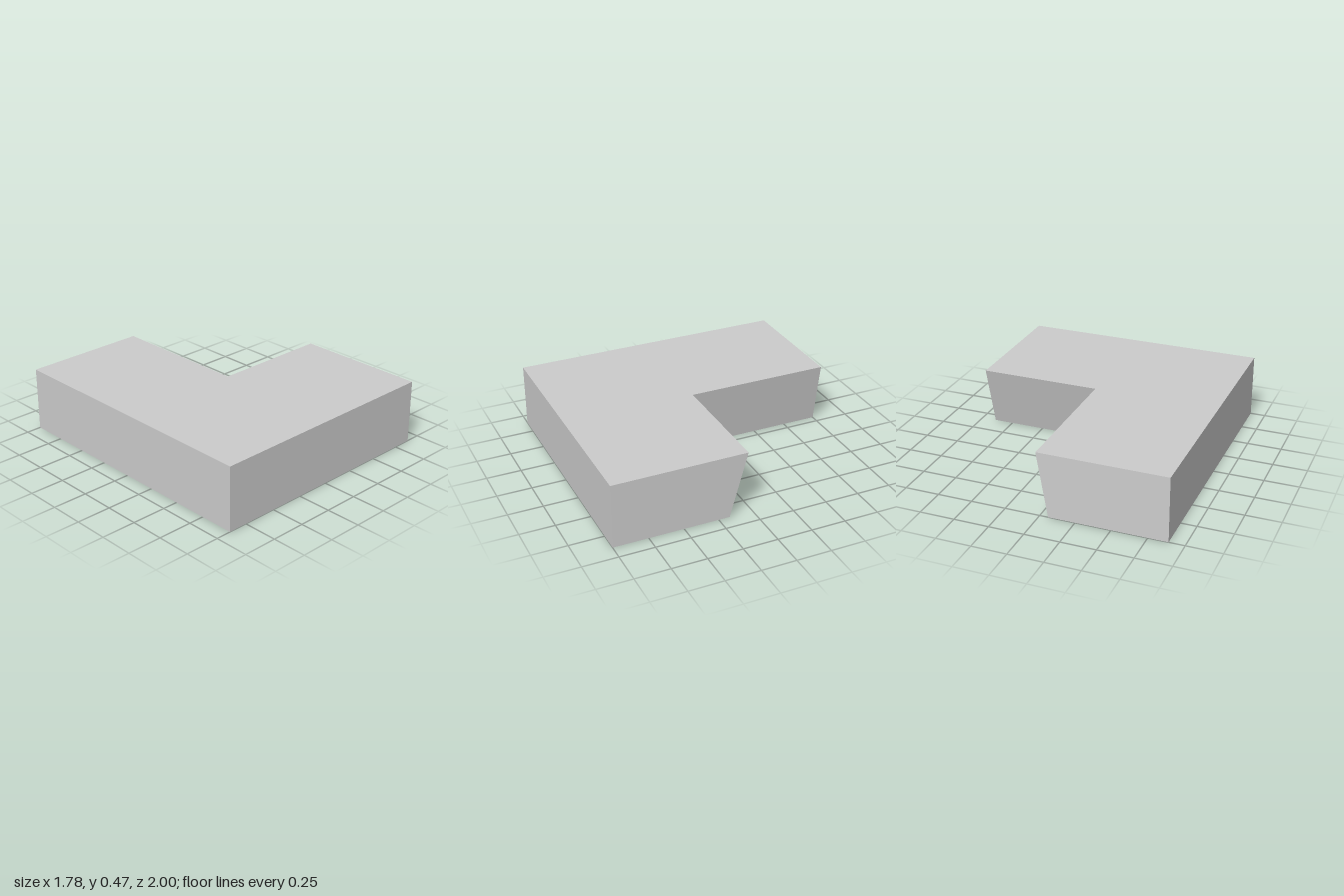
import * as THREE from 'three';

const HEIGHT = 0.465;
const INNER_X = 0.02, INNER_Z = 0.04; // inner walls at the top
const LEAN_X = -0.08, LEAN_Z = 0.13;  // how far they lean in at the bottom

export function createModel() {
  const group = new THREE.Group();
  group.name = 'cornerBlock';

  // L-shaped plan, drawn as (x, z)
  const plan = new THREE.Shape([
    [-0.89, -1], [INNER_X, -1], [INNER_X, INNER_Z],
    [0.89, INNER_Z], [0.89, 1], [-0.89, 1],
  ].map(([x, z]) => new THREE.Vector2(x, z)));

  const geometry = new THREE.ExtrudeGeometry(plan, { depth: HEIGHT, bevelEnabled: false });
  geometry.rotateX(Math.PI / 2).translate(0, HEIGHT, 0);

  // Slope the two inner walls by shifting their bottom edges
  const p = geometry.attributes.position;
  for (let i = 0; i < p.count; i++) {
    if (p.getY(i) > HEIGHT / 2) continue;
    const x = p.getX(i), z = p.getZ(i);
    if (Math.abs(x - INNER_X) < 1e-4) p.setX(i, x + LEAN_X);
    if (Math.abs(z - INNER_Z) < 1e-4) p.setZ(i, z + LEAN_Z);
  }
  geometry.computeVertexNormals();

  const body = new THREE.Mesh(
    geometry,
    new THREE.MeshStandardMaterial({ color: 0xcccccc, flatShading: true }),
  );
  body.name = 'body';
  group.add(body);
  return group;
}
